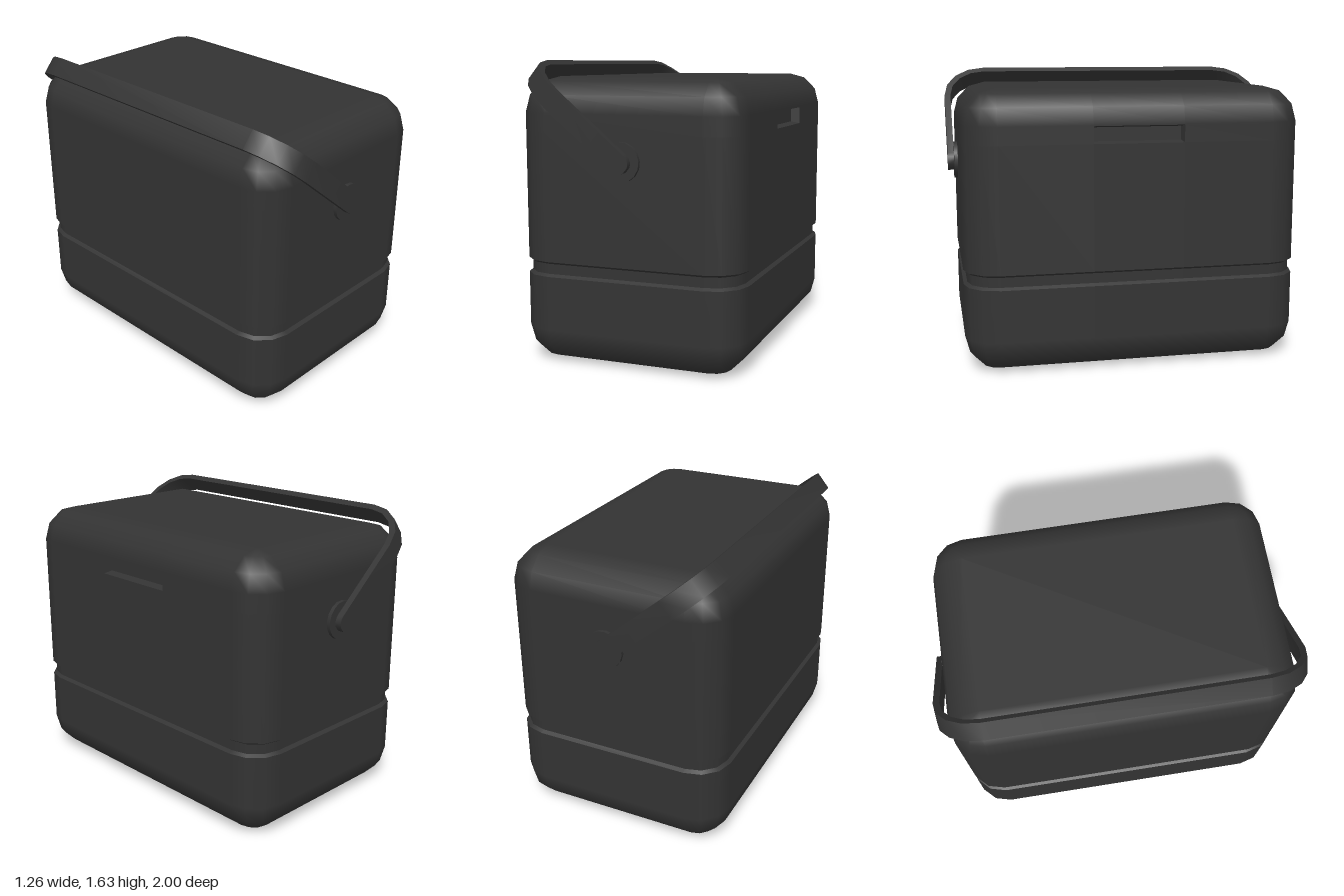
import * as THREE from 'three';
import { toCreasedNormals } from 'three/addons/utils/BufferGeometryUtils.js';

const HX = 0.63, HZ = 0.945, HEIGHT = 1.55, R = 0.19, STEPS = 3;
const SLOT = { z: 0.25, y0: 1.26, y1: 1.355, depth: 0.05, taper: 0.01 };
const material = new THREE.MeshStandardMaterial({ color: 0x333333 });

// Collects quads, with given vertex normals or a flat one
function quadBuilder() {
  const pos = [], nor = [];
  return {
    quad(p, n) {
      if (!n) {
        const flat = p[2].clone().sub(p[0]).cross(p[3].clone().sub(p[1])).normalize();
        n = [flat, flat, flat, flat];
      }
      for (const i of [0, 1, 2, 0, 2, 3]) {
        pos.push(...p[i].toArray());
        nor.push(...n[i].toArray());
      }
    },
    build() {
      const g = new THREE.BufferGeometry();
      g.setAttribute('position', new THREE.Float32BufferAttribute(pos, 3));
      g.setAttribute('normal', new THREE.Float32BufferAttribute(nor, 3));
      return g;
    },
  };
}

// Columns around the case: two slot edges on the +x side, then four rounded corners
const columns = [{ a: 0, sx: 1, z: -SLOT.z }, { a: 0, sx: 1, z: SLOT.z }];
[[1, 1], [-1, 1], [-1, -1], [1, -1]].forEach(([sx, sz], q) => {
  for (let i = 0; i <= STEPS; i++) columns.push({ a: (q + i / STEPS) * Math.PI / 2, sx, sz });
});

// Point on the case wall at a level [inset, y, tilt]
function wallPoint(c, [inset, y]) {
  if (c.sz === undefined) return new THREE.Vector3(HX - inset, y, c.z);
  const r = R - inset;
  return new THREE.Vector3(c.sx * (HX - R) + r * Math.cos(c.a), y, c.sz * (HZ - R) + r * Math.sin(c.a));
}

function wallNormal(c, [, , tilt]) {
  return new THREE.Vector3(Math.cos(c.a) * Math.cos(tilt), Math.sin(tilt), Math.sin(c.a) * Math.cos(tilt));
}

// Stacked rings; skipSlot leaves the opening out of the +x wall
function caseGeometry(levels, cap) {
  const b = quadBuilder();
  for (let k = 0; k + 1 < levels.length; k++) {
    const lo = levels[k], hi = levels[k + 1];
    columns.forEach((c, i) => {
      if (i === 0 && lo[1] === SLOT.y0 && hi[1] === SLOT.y1) return;
      const d = columns[(i + 1) % columns.length];
      b.quad([wallPoint(c, lo), wallPoint(c, hi), wallPoint(d, hi), wallPoint(d, lo)],
        [wallNormal(c, lo), wallNormal(c, hi), wallNormal(d, hi), wallNormal(d, lo)]);
    });
  }
  if (cap) {
    const x = HX - R, z = HZ - R, y = cap > 0 ? HEIGHT : 0;
    const p = [[-x, z], [x, z], [x, -z], [-x, -z]].map(([px, pz]) => new THREE.Vector3(px, y, pz));
    b.quad(cap > 0 ? p : p.reverse());
  }
  return b.build();
}

// Quarter-round edge levels, listed bottom to top
function roundedLevels(top) {
  const out = [];
  for (let i = 0; i <= STEPS; i++) {
    const t = (top ? i : STEPS - i) / STEPS * Math.PI / 2;
    const inset = R * (1 - Math.cos(t)), drop = R * (1 - Math.sin(t));
    out.push([inset, top ? HEIGHT - drop : drop, top ? t : -t]);
  }
  return out;
}

// Recess with slightly tapered walls and a floor
function slotGeometry() {
  const b = quadBuilder();
  const ring = (x, t) => [[-1, 0], [1, 0], [1, 1], [-1, 1]].map(([s, top]) =>
    new THREE.Vector3(x, top ? SLOT.y1 - t : SLOT.y0 + t, s * (SLOT.z - t)));
  const outer = ring(HX, 0), inner = ring(HX - SLOT.depth, SLOT.taper);
  for (let i = 0; i < 4; i++) {
    const j = (i + 1) % 4;
    b.quad([outer[i], inner[i], inner[j], outer[j]]);
  }
  b.quad([...inner].reverse());
  return b.build();
}

// Flat strap bent into a U in the y-z plane, with rounded ends
function strapGeometry() {
  const zOut = 1, top = 0.735, thick = 0.035, bend = 0.25, segs = 4, half = 0.055;
  const stations = [];
  for (const [y, w] of [[-0.058, 0.018], [-0.046, 0.038], [-0.025, 0.051], [0, half]])
    stations.push({ w, zo: zOut, yo: y, zi: zOut - thick, yi: y });
  for (let i = 0; i <= segs; i++) {
    const t = i / segs * Math.PI / 2, cz = zOut - bend, cy = top - bend, ri = bend - thick;
    stations.push({
      w: half,
      zo: cz + bend * Math.cos(t), yo: cy + bend * Math.sin(t),
      zi: cz + ri * Math.cos(t), yi: cy + ri * Math.sin(t),
    });
  }
  const mirrored = stations.map((s) => ({ ...s, zo: -s.zo, zi: -s.zi })).reverse();
  const sections = [...stations, ...mirrored].map((s) => [
    new THREE.Vector3(-s.w, s.yo, s.zo), new THREE.Vector3(s.w, s.yo, s.zo),
    new THREE.Vector3(s.w, s.yi, s.zi), new THREE.Vector3(-s.w, s.yi, s.zi),
  ]);
  const b = quadBuilder();
  for (let i = 0; i + 1 < sections.length; i++) {
    const s = sections[i], n = sections[i + 1];
    for (let k = 0; k < 4; k++) {
      const m = (k + 1) % 4;
      b.quad([s[k], s[m], n[m], n[k]]);
    }
  }
  b.quad([...sections[0]].reverse());
  b.quad(sections[sections.length - 1]);
  return toCreasedNormals(b.build(), 0.55);
}

export function createModel() {
  const model = new THREE.Group();
  model.name = 'carryCase';
  const add = (name, geometry, parent = model) => {
    const mesh = new THREE.Mesh(geometry, material);
    mesh.name = name;
    parent.add(mesh);
    return mesh;
  };

  // Case halves, split by a shallow seam with bevelled lips
  const seamLow = 0.485, seamHigh = 0.566, lip = 0.013, inset = 0.02;
  add('lowerCase', caseGeometry([...roundedLevels(false), [0, seamLow, 0]], -1));
  add('upperCase', caseGeometry([[0, seamHigh, 0], [0, SLOT.y0, 0], [0, SLOT.y1, 0], ...roundedLevels(true)], 1));
  add('seamLowerLip', caseGeometry([[0, seamLow, 1], [inset, seamLow + lip, 1]]));
  add('seam', caseGeometry([[inset, seamLow + lip, 0], [inset, seamHigh - lip, 0]]));
  add('seamUpperLip', caseGeometry([[inset, seamHigh - lip, -1], [0, seamHigh, -1]]));
  add('slot', slotGeometry());

  // Carrying handle, swung toward -x about its two hubs
  const handle = new THREE.Group();
  handle.name = 'handle';
  handle.position.y = 1.12;
  handle.rotation.z = THREE.MathUtils.degToRad(50);
  model.add(handle);
  add('strap', strapGeometry(), handle);
  for (const side of [1, -1]) {
    const hub = add(side > 0 ? 'frontHub' : 'backHub', new THREE.CylinderGeometry(0.105, 0.105, 0.03, 16), handle);
    hub.rotation.x = Math.PI / 2;
    hub.position.z = side * 0.95;
  }
  return model;
}
